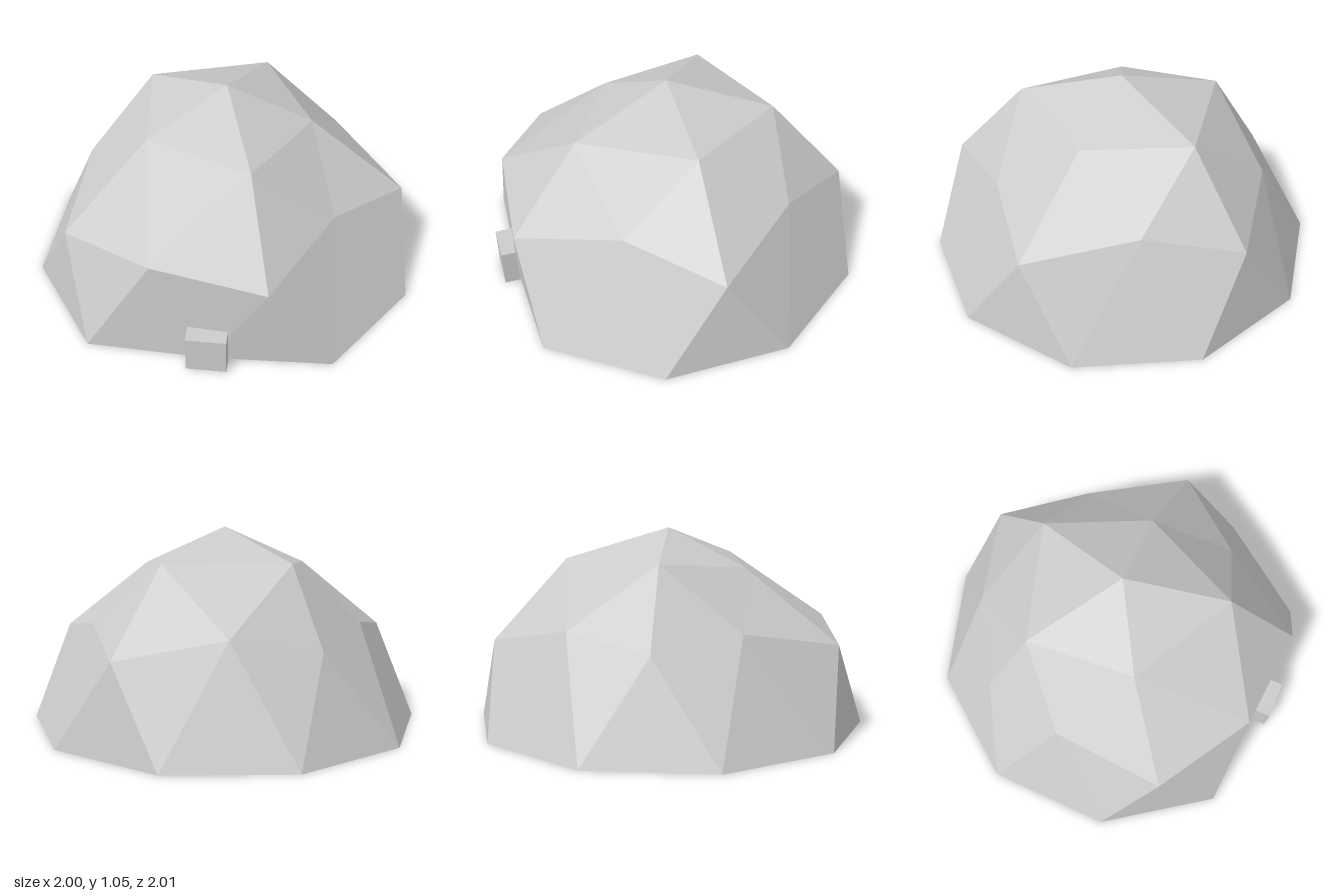
import * as THREE from 'three';

const R = 1.05, CZ = 0.045, INNER = 0.9;
const material = () => new THREE.MeshStandardMaterial({ color: 0xcccccc, flatShading: true });

// Ring of n points on the sphere at a given height, first one at startDeg
function ring(n, startDeg, y) {
  const r = Math.sqrt(R * R - y * y);
  return Array.from({ length: n }, (_, i) => {
    const t = THREE.MathUtils.degToRad(startDeg + (i * 360) / n);
    return [r * Math.cos(t), y, r * Math.sin(t) + CZ];
  });
}

function meshFrom(name, triangles) {
  const g = new THREE.BufferGeometry();
  g.setAttribute('position', new THREE.Float32BufferAttribute(triangles.flat(2), 3));
  g.computeVertexNormals();
  const mesh = new THREE.Mesh(g, material());
  mesh.name = name;
  return mesh;
}

export function createModel() {
  const group = new THREE.Group();
  group.name = 'dome';

  // Geodesic half sphere: apex, three five-point rings and a ten-sided base
  const apex = [0, R, CZ];
  const upper = ring(5, 0, 0.893);
  const corner = ring(5, 0, 0.47);
  const mid = ring(5, 36, 0.552);
  const base = ring(10, 18, 0);

  // Dented points
  upper[0] = [0.44, 0.85, 0.02];
  upper[2] = [-0.38, 0.85, 0.28];
  corner[3] = [-0.64, 0.49, -0.44];
  mid[0] = [0.58, 0.57, 0.45];
  mid[2] = [-0.745, 0.57, 0.01];
  mid[3] = [-0.24, 0.57, -0.68];
  mid[4] = [0.575, 0.57, -0.42];
  base[2] = [0, 0, 0.92]; // flattened at the entrance

  const outer = [];
  for (let i = 0; i < 5; i++) {
    const j = (i + 1) % 5;
    const b0 = base[(2 * i + 9) % 10], b1 = base[2 * i], b2 = base[2 * i + 1];
    outer.push(
      [apex, upper[j], upper[i]],
      [upper[i], upper[j], mid[i]],
      [upper[i], mid[i], corner[i]],
      [upper[j], corner[j], mid[i]],
      [corner[i], b1, b0],
      [corner[i], mid[i], b1],
      [mid[i], b2, b1],
      [mid[i], corner[j], b2]
    );
  }

  // Inner shell is the outer one shrunk and turned inside out
  const shrink = ([x, y, z]) => [x * INNER, y * INNER, (z - CZ) * INNER + CZ];
  const inner = outer.map(([a, b, c]) => [shrink(a), shrink(c), shrink(b)]);

  // Flat rim joining both shells, facing down
  const rim = base.flatMap((p, i) => {
    const q = base[(i + 1) % 10];
    return [[p, q, shrink(q)], [p, shrink(q), shrink(p)]];
  });

  group.add(meshFrom('outerShell', outer), meshFrom('innerShell', inner), meshFrom('rim', rim));

  // Small entrance block through the front wall
  const block = new THREE.Mesh(new THREE.BoxGeometry(0.2, 0.2, 0.2), material());
  block.name = 'entranceBlock';
  block.position.set(0, 0.1, 0.9);
  group.add(block);

  return group;
}
